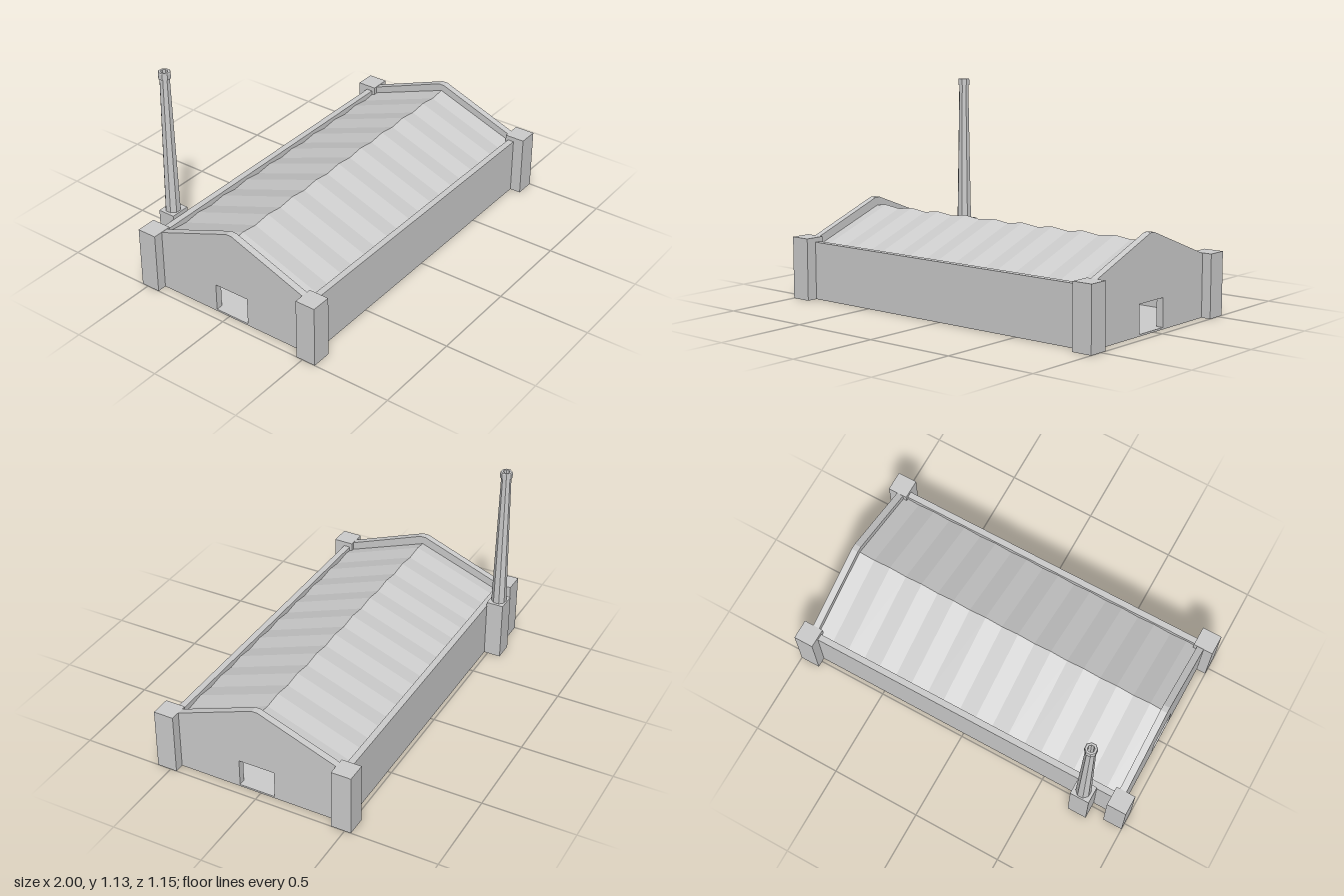
import * as THREE from 'three';

const grey = new THREE.MeshStandardMaterial({ color: 0xcccccc, flatShading: true });
const greyThin = new THREE.MeshStandardMaterial({ color: 0xcccccc, flatShading: true, side: THREE.DoubleSide });

const MID = 0.02; // z of the ridge and centre line of the hall

export function createModel() {
  const model = new THREE.Group();

  const add = (name, geometry, material = grey) => {
    const mesh = new THREE.Mesh(geometry, material);
    mesh.name = name;
    model.add(mesh);
    return mesh;
  };
  // Box given by its extents on each axis
  const box = (name, [x0, x1], [y0, y1], [z0, z1]) =>
    add(name, new THREE.BoxGeometry(x1 - x0, y1 - y0, z1 - z0))
      .position.set((x0 + x1) / 2, (y0 + y1) / 2, (z0 + z1) / 2);

  // Floor slab, with a threshold in each doorway
  box('floor', [-0.91, 0.91], [0, 0.01], [-0.445, 0.48]);

  // Long side walls
  box('frontWall', [-0.93, 0.93], [0, 0.31], [0.48, 0.515]);
  box('backWall', [-0.93, 0.93], [0, 0.31], [-0.48, -0.445]);

  // Gable walls: profile in (z, y) with a door opening, rising above the roof
  const gable = new THREE.Shape([
    [0.5, 0], [0.5, 0.32], [0.465, 0.333], [0.035, 0.497],
    [0.003, 0.497], [-0.427, 0.333], [-0.462, 0.32], [-0.462, 0],
  ].map(([z, y]) => new THREE.Vector2(z, y)));
  gable.holes.push(new THREE.Path([
    [-0.08, 0.01], [0.12, 0.01], [0.12, 0.16], [-0.08, 0.16],
  ].map(([z, y]) => new THREE.Vector2(z, y))));
  for (const [name, outer] of [['leftGable', 0.948], ['rightGable', -0.91]]) {
    const geometry = new THREE.ExtrudeGeometry(gable, { depth: 0.038, bevelEnabled: false });
    geometry.rotateY(-Math.PI / 2);
    add(name, geometry).position.x = outer;
  }

  // Corner pillars
  for (const s of [-1, 1]) {
    const xs = s > 0 ? [0.89, 1] : [-1, -0.89];
    box('frontPillar', xs, [0, 0.335], [0.465, 0.575]);
    box('backPillar', xs, [0, 0.335], [-0.535, -0.427]);
  }

  // Corrugated roof: a folded sheet whose columns alternate crest and valley
  const step = 0.098;
  const columns = [-0.915];
  for (let i = 0; -0.845 + i * step < 0.915; i++) columns.push(-0.845 + i * step);
  columns.push(0.915);
  const roof = new THREE.PlaneGeometry(1, 1, columns.length - 1, 2);
  roof.rotateX(-Math.PI / 2);
  const p = roof.attributes.position;
  const rowZ = [-0.447, MID, 0.482];
  for (let i = 0; i < p.count; i++) {
    const x = columns[i % columns.length];
    const z = rowZ[Math.floor(i / columns.length)];
    const phase = Math.abs((((x + 0.845) / step) % 2 + 2) % 2 - 1); // 1 at a crest, 0 in a valley
    p.setXYZ(i, x, 0.449 + 0.012 * phase - 0.37 * Math.abs(z - MID), z);
  }
  roof.computeVertexNormals();
  add('roof', roof, greyThin);

  // Inner frames: a centre post and a cross beam
  for (const x of [-0.45, 0, 0.45]) {
    box('post', [x - 0.015, x + 0.015], [-0.0, 0.44], [MID - 0.015, MID + 0.015]);
    box('crossBeam', [x - 0.014, x + 0.014], [0.133, 0.15], [-0.446, 0.481]);
  }

  // Chimney: square plinth, tapered eight-sided shaft and hollow collar
  box('chimneyBase', [-0.803, -0.695], [0, 0.332], [-0.573, -0.479]);
  const profile = [
    [0.041, 0.33], [0.027, 1.1], [0.033, 1.1], [0.033, 1.13],
    [0.03, 1.135], [0.018, 1.135], [0.018, 1.0], [0, 1.0],
  ].map(([r, y]) => new THREE.Vector2(r, y));
  const chimney = add('chimney', new THREE.LatheGeometry(profile, 8, Math.PI / 8), greyThin);
  chimney.position.set(-0.749, 0, -0.527);

  return model;
}
